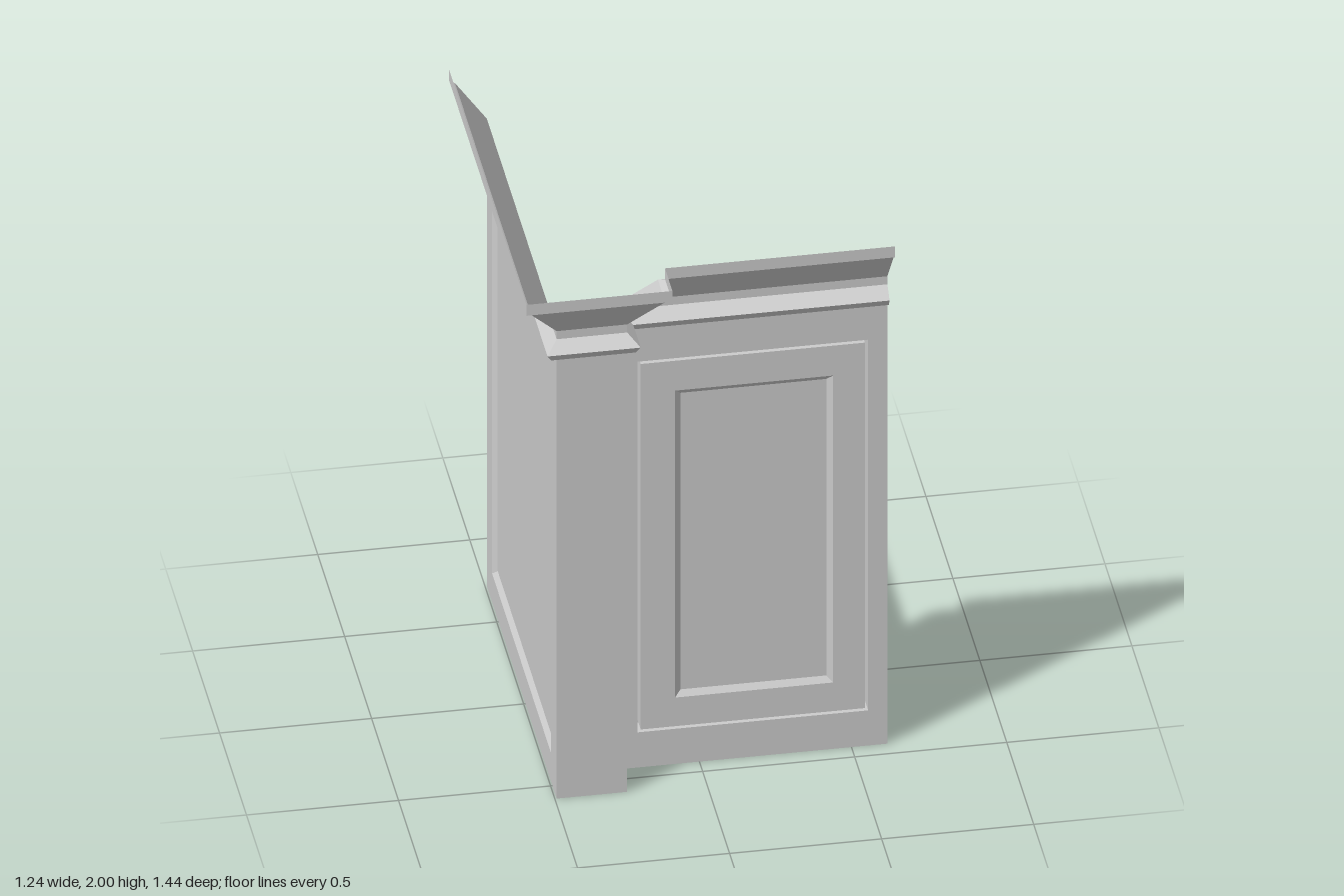
import * as THREE from 'three';

const material = new THREE.MeshStandardMaterial({ color: 0xcccccc, flatShading: true, side: THREE.DoubleSide });

// Main plan positions
const LEFT = -0.494, RIGHT = 0.618, BACK = -0.718, FRONT = 0.44;
const POST_FRONT = 0.578, POST_SIDE = -0.262, WALL_TOP = 1.69;

// Flat-shaded sheet through rows of points, each row the same length
function sheet(name, rows) {
  const pos = [];
  for (let i = 0; i + 1 < rows.length; i++) {
    for (let j = 0; j + 1 < rows[i].length; j++) {
      const a = rows[i][j], b = rows[i][j + 1], c = rows[i + 1][j + 1], d = rows[i + 1][j];
      pos.push(...a, ...b, ...c, ...a, ...c, ...d);
    }
  }
  const geo = new THREE.BufferGeometry();
  geo.setAttribute('position', new THREE.Float32BufferAttribute(pos, 3));
  geo.computeVertexNormals();
  const mesh = new THREE.Mesh(geo, material);
  mesh.name = name;
  return mesh;
}

// Nested rectangles [x0, y0, x1, y1, z], joined from the outside in; the last may be capped
function nestedPanel(name, rects, capped) {
  const rows = rects.map(([x0, y0, x1, y1, z]) =>
    [[x0, y0, z], [x1, y0, z], [x1, y1, z], [x0, y1, z], [x0, y0, z]]);
  if (capped) {
    const [x0, y0, x1, y1, z] = rects[rects.length - 1];
    rows.push(Array(5).fill([(x0 + x1) / 2, (y0 + y1) / 2, z]));
  }
  return sheet(name, rows);
}

// Rectangle shrunk evenly by d and placed at depth z
const inset = ([x0, y0, x1, y1], d, z) => [x0 + d, y0 + d, x1 - d, y1 - d, z];

export function createModel() {
  const group = new THREE.Group();
  group.name = 'cabinetCorner';

  // Side wall with a shallow bevelled recess, turned to face -x
  const sideField = [-0.62, 0.11, 0.47, 1.58];
  const side = nestedPanel('sideWall', [
    [BACK, 0, POST_FRONT, WALL_TOP, 0],
    inset(sideField, 0, 0),
    inset(sideField, 0.02, -0.015),
  ], true);
  side.rotation.y = -Math.PI / 2;
  side.position.x = LEFT;
  group.add(side);

  // Corner post: front face and the return to the front wall
  const postPlan = [[LEFT, POST_FRONT], [POST_SIDE, POST_FRONT], [POST_SIDE, FRONT]];
  group.add(sheet('cornerPost', [0, WALL_TOP].map(y => postPlan.map(([x, z]) => [x, y, z]))));

  // Front wall around the door, with a narrow deep gap
  const door = [-0.203, 0.135, 0.555, 1.56];
  group.add(nestedPanel('frontWall', [
    [POST_SIDE, 0, RIGHT, WALL_TOP, FRONT],
    inset(door, 0, FRONT),
    inset(door, 0, 0.383),
    inset(door, 0.01, 0.383),
  ], false));

  // Door with a bevelled recessed field, open behind
  const doorField = [-0.08, 0.255, 0.44, 1.435];
  group.add(nestedPanel('door', [
    inset(door, 0.01, 0.383),
    inset(door, 0.01, FRONT),
    inset(doorField, 0, FRONT),
    inset(doorField, 0.02, FRONT - 0.015),
  ], true));

  // Cornice: profile of [projection, height] mitred along the plan
  const profile = [[0, WALL_TOP], [0.026, 1.703], [0.042, 1.73], [0, 1.766],
    [0, 1.797], [0.118, 1.945], [0.14, 1.958], [0.14, 2]];
  group.add(sheet('cornice', profile.map(([p, y]) => {
    const px = p * 0.886;
    return [
      [LEFT - px, y, BACK],
      [LEFT - px, y, POST_FRONT + p],
      [POST_SIDE + px, y, POST_FRONT + p],
      [POST_SIDE + px, y, FRONT + p],
      [RIGHT, y, FRONT + p],
    ];
  })));

  // Floor: main rectangle plus the foot of the post
  group.add(sheet('floor', [
    [[LEFT, 0, FRONT], [RIGHT, 0, FRONT]],
    [[LEFT, 0, BACK], [RIGHT, 0, BACK]],
  ]));
  group.add(sheet('postFloor', [
    [[LEFT, 0, POST_FRONT], [POST_SIDE, 0, POST_FRONT]],
    [[LEFT, 0, FRONT], [POST_SIDE, 0, FRONT]],
  ]));

  return group;
}
